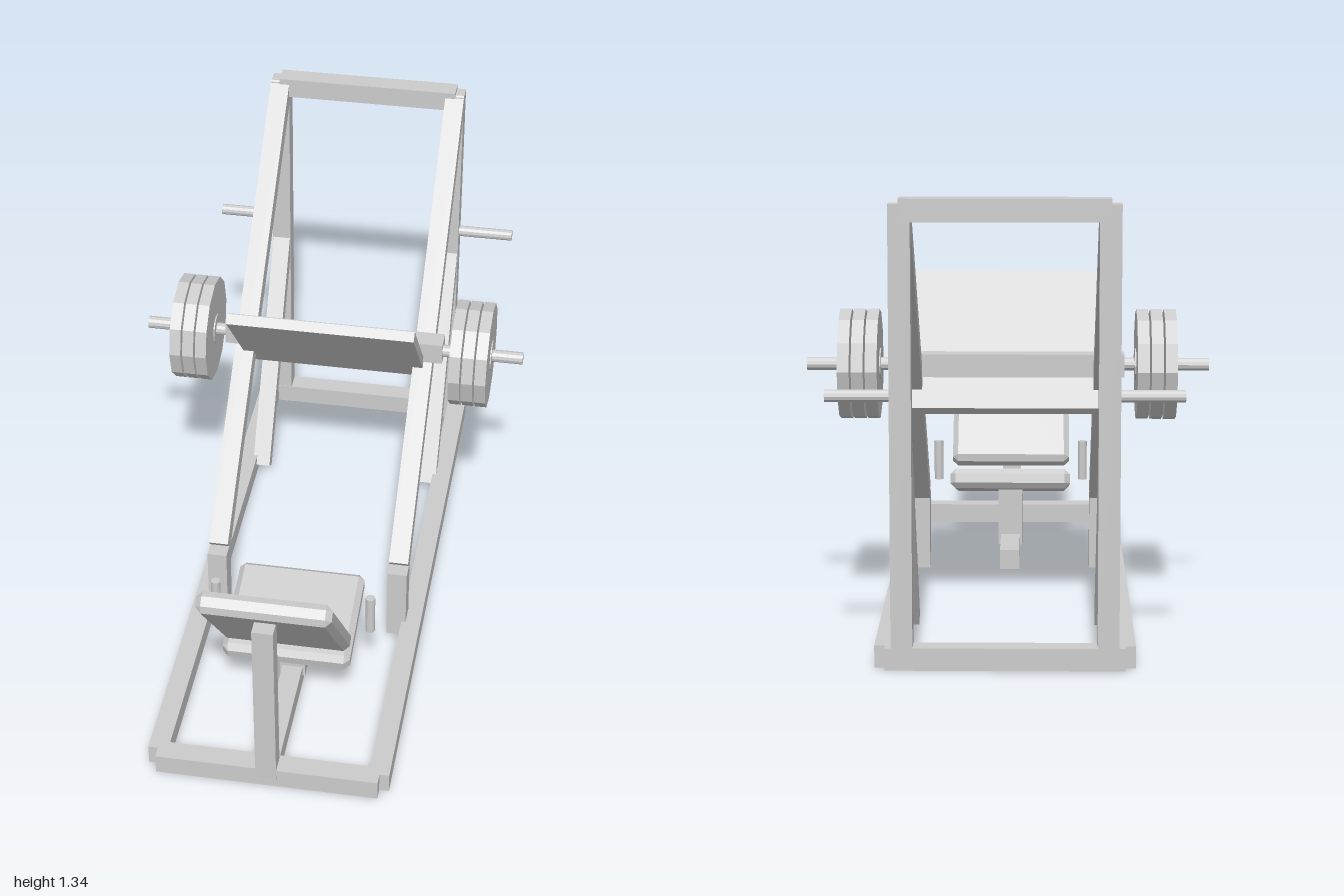
import * as THREE from 'three';
import { ConvexGeometry } from 'three/addons/geometries/ConvexGeometry.js';

const steel = new THREE.MeshStandardMaterial({ color: 0xcccccc });
steel.name = 'light grey';

export function createModel() {
  const model = new THREE.Group();
  model.name = 'legPressMachine';

  const add = (name, geometry) => {
    const mesh = new THREE.Mesh(geometry, steel);
    mesh.name = name;
    model.add(mesh);
    return mesh;
  };

  // Axis-aligned box from its limits
  const box = (name, x0, x1, y0, y1, z0, z1) => {
    const m = add(name, new THREE.BoxGeometry(x1 - x0, y1 - y0, z1 - z0));
    m.position.set((x0 + x1) / 2, (y0 + y1) / 2, (z0 + z1) / 2);
    return m;
  };

  // Places a part whose length runs along its own z between two [z, y] points
  const lean = (mesh, x, a, b) => {
    mesh.position.set(x, (a[1] + b[1]) / 2, (a[0] + b[0]) / 2);
    mesh.rotation.x = -Math.atan2(b[1] - a[1], b[0] - a[0]);
    return mesh;
  };
  const span = (a, b) => Math.hypot(b[0] - a[0], b[1] - a[1]);
  const beam = (name, x, a, b, width, thick) =>
    lean(add(name, new THREE.BoxGeometry(width, thick, span(a, b))), x, a, b);

  // Faceted cylinder along x or y
  const rod = (name, r, length, x, y, z, alongX = true) => {
    const g = new THREE.CylinderGeometry(r, r, length, 12).toNonIndexed();
    g.computeVertexNormals();
    if (alongX) g.rotateZ(Math.PI / 2);
    add(name, g).position.set(x, y, z);
  };

  // Box with chamfered edges for the upholstery
  const pad = (name, a, b, width, thick, c) => {
    const h = [width / 2, thick / 2, span(a, b) / 2];
    const points = [];
    for (let axis = 0; axis < 3; axis++)
      for (const sx of [-1, 1]) for (const sy of [-1, 1]) for (const sz of [-1, 1]) {
        const d = h.map((v, i) => (i === axis ? v : v - c));
        points.push(new THREE.Vector3(sx * d[0], sy * d[1], sz * d[2]));
      }
    lean(add(name, new ConvexGeometry(points)), 0, a, b);
  };

  // Base frame
  box('frontBaseBar', -0.342, 0.342, 0, 0.065, 0.915, 0.982);
  box('rearBaseBar', -0.342, 0.342, 0, 0.065, -1, -0.935);
  box('centreBaseBeam', -0.032, 0.032, 0, 0.065, 0.21, 0.93);
  box('topBar', -0.295, 0.295, 1.275, 1.34, -1, -0.935);

  for (const s of [-1, 1]) {
    const x = s * 0.293;
    const side = (name, y0, y1, z0, z1) => box(name, x - 0.031, x + 0.031, y0, y1, z0, z1);
    box('baseRail', s * 0.341 - 0.031, s * 0.341 + 0.031, 0, 0.065, -0.97, 0.945);
    side('rearUpright', 0.01, 1.325, -0.998, -0.937);
    side('frontPost', 0.01, 0.262, 0.19, 0.255);
    beam('slideRail', x, [0.21, 0.267], [-0.965, 1.307], 0.062, 0.06);
    beam('rearBrace', x, [-0.52, 0.025], [-0.965, 0.708], 0.058, 0.048);
    rod('storagePeg', 0.018, 0.205, s * 0.403, 0.785, -0.967);

    // Loading sleeve and weight plates
    rod('sleeve', 0.02, 0.28, s * 0.475, 0.767, -0.285);
    rod('plateHub', 0.048, 0.128, s * 0.452, 0.767, -0.285);
    for (const px of [0.41, 0.452, 0.494]) rod('weightPlate', 0.17, 0.036, s * px, 0.767, -0.285);

    // Hand grip beside the seat
    rod('handGrip', 0.015, 0.132, s * 0.244, 0.31, 0.505, false);
  }

  // Sliding carriage
  box('carriageBar', -0.356, 0.356, 0.732, 0.802, -0.327, -0.26);
  beam('footPlate', 0, [-0.348, 0.631], [-0.003, 1.012], 0.59, 0.033);

  // Seat and backrest
  beam('backrestPost', 0, [0.955, 0.03], [0.971, 0.637], 0.064, 0.058);
  box('seatPost', -0.04, 0.04, 0.03, 0.225, 0.44, 0.52);
  pad('backrestPad', [0.605, 0.277], [0.98, 0.717], 0.4, 0.066, 0.018);
  pad('seatPad', [0.315, 0.285], [0.643, 0.205], 0.4, 0.066, 0.018);

  return model;
}
